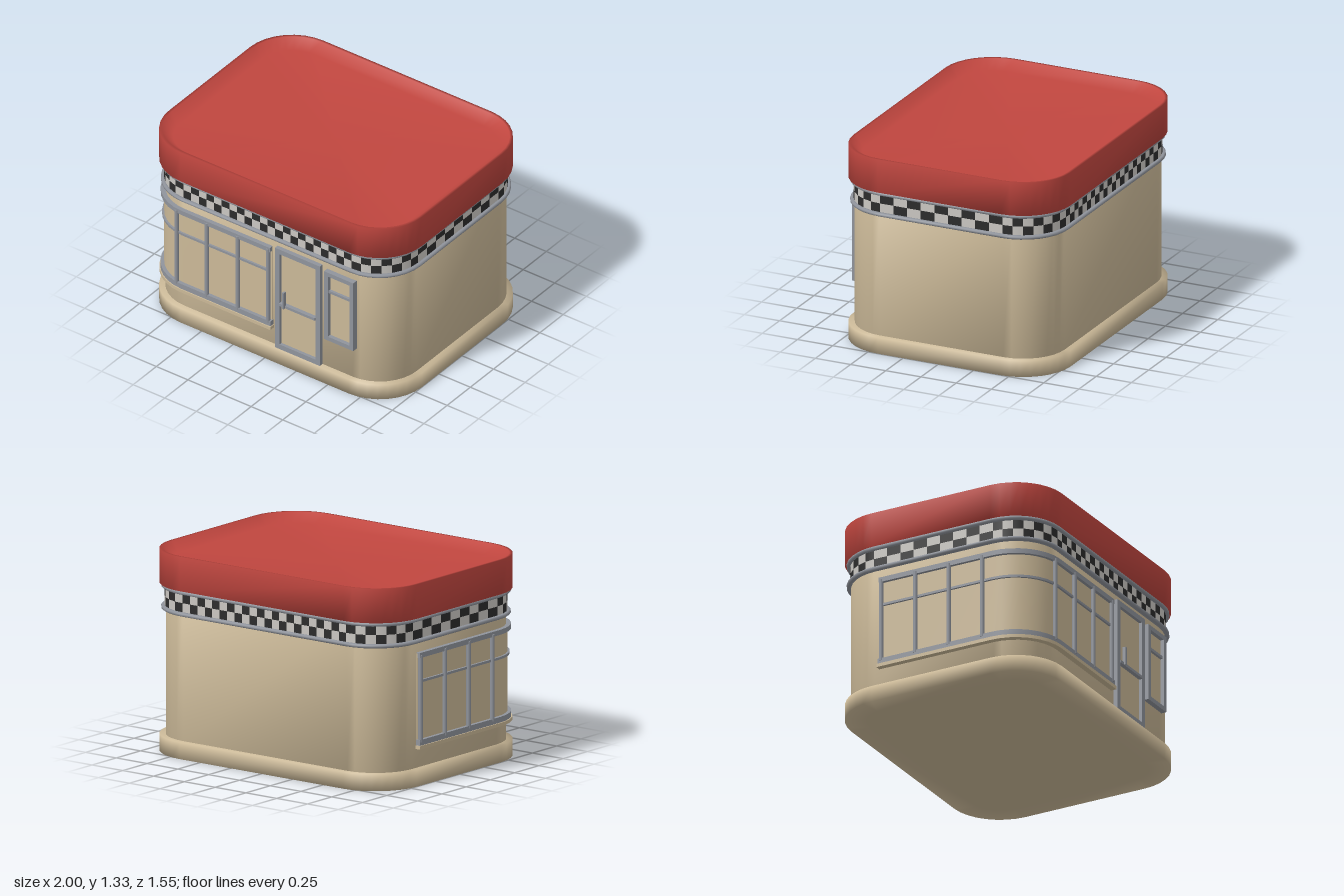
import * as THREE from 'three';
import { toCreasedNormals } from 'three/addons/utils/BufferGeometryUtils.js';

const HX = 0.96, HZ = 0.73, R = 0.295; // wall half sizes and corner radius

const mat = (name, color) => {
  const m = new THREE.MeshStandardMaterial({ color });
  m.name = name;
  return m;
};

// Stations [x, z, normalX, normalZ] round one corner, from angle a (degrees) through -90
function corner(sx, sz, a, n) {
  const out = [];
  for (let i = 0; i <= n; i++) {
    const t = (a - (90 * i) / n) * Math.PI / 180, c = Math.cos(t), s = Math.sin(t);
    out.push([sx * (HX - R) + R * c, sz * (HZ - R) + R * s, c, s]);
  }
  return out;
}

const corners = (n) => [corner(1, 1, 90, n), corner(1, -1, 0, n), corner(-1, -1, -90, n), corner(-1, 1, 180, n)];

// Sweeps a profile of [offset, y] points along the stations
function sweep(path, profile, { loop, ring }) {
  const pos = [], idx = [], n = path.length, m = profile.length;
  for (const [x, z, nx, nz] of path)
    for (const [d, y] of profile) pos.push(x + nx * d, y, z + nz * d);
  for (let i = 0; i < (loop ? n : n - 1); i++)
    for (let j = 0; j < (ring ? m : m - 1); j++) {
      const k = (i + 1) % n, l = (j + 1) % m;
      const a = i * m + j, b = k * m + j, c = k * m + l, d = i * m + l;
      idx.push(a, b, c, a, c, d);
    }
  if (loop && !ring) { // close bottom and top
    const bottom = n * m, top = bottom + 1;
    pos.push(0, profile[0][1], 0, 0, profile[m - 1][1], 0);
    for (let i = 0; i < n; i++) {
      const k = (i + 1) % n;
      idx.push(bottom, k * m, i * m, top, i * m + m - 1, k * m + m - 1);
    }
  }
  if (!loop) { // close both ends
    const e = (n - 1) * m;
    for (let j = 1; j < m - 1; j++) idx.push(0, j, j + 1, e, e + j + 1, e + j);
  }
  const g = new THREE.BufferGeometry();
  g.setAttribute('position', new THREE.Float32BufferAttribute(pos, 3));
  g.setIndex(idx);
  g.computeVertexNormals();
  return g;
}

// Two rows of alternating quads round the building
function checkerGeometry(y0, y1, d) {
  const cells = [], straight = [22, 9, 22, 9], arcs = 7, arc = corners(arcs);
  for (let s = 0; s < 4; s++) {
    const a = arc[(s + 3) % 4][arcs], b = arc[s][0];
    for (let i = 0; i < straight[s]; i++)
      cells.push(a.map((v, k) => v + (b[k] - v) * i / straight[s]));
    cells.push(...arc[s].slice(0, arcs));
  }
  const pos = [], nor = [], g = new THREE.BufferGeometry(), h = (y1 - y0) / 2;
  for (let colour = 0; colour < 2; colour++) {
    const start = pos.length / 3;
    cells.forEach((a, i) => {
      const b = cells[(i + 1) % cells.length];
      const row = (i + colour) % 2, lo = y0 + row * h, hi = lo + h;
      for (const [p, y] of [[a, lo], [b, lo], [b, hi], [a, lo], [b, hi], [a, hi]]) {
        pos.push(p[0] + p[2] * d, y, p[1] + p[3] * d);
        nor.push(p[2], 0, p[3]);
      }
    });
    g.addGroup(start, pos.length / 3 - start, colour);
  }
  g.setAttribute('position', new THREE.Float32BufferAttribute(pos, 3));
  g.setAttribute('normal', new THREE.Float32BufferAttribute(nor, 3));
  return g;
}

export function createModel() {
  const beige = mat('beige', 0xcbb998), red = mat('red', 0xc0463f), grey = mat('steel grey', 0x90949c);
  const white = mat('off white', 0xcac7c2), black = mat('black', 0x2c2c2c);

  const model = new THREE.Group();
  model.name = 'building';
  const body = new THREE.Group();
  body.name = 'body';
  body.position.z = -0.005;
  model.add(body);

  const add = (name, geo, material, parent = body) => {
    const mesh = new THREE.Mesh(geo, material);
    mesh.name = name;
    parent.add(mesh);
    return mesh;
  };
  const box = (name, x0, x1, y0, y1, z0, z1, material, parent) =>
    add(name, new THREE.BoxGeometry(x1 - x0, y1 - y0, z1 - z0), material, parent)
      .position.set((x0 + x1) / 2, (y0 + y1) / 2, (z0 + z1) / 2);

  // Main shell: base, walls, and a roof with a sunken top behind a narrow rim
  const path = corners(8).flat();
  const shell = (name, profile, material) => add(name, sweep(path, profile, { loop: true }), material);
  shell('base', [[-0.1, 0], [0.04, 0], [0.04, 0.11], [-0.08, 0.11]], beige);
  shell('walls', [[-0.28, 0.1], [0, 0.1], [0, 1.09], [-0.28, 1.09]], beige);
  shell('roof', [[-0.1, 1.1], [0.04, 1.1], [0.04, 1.325], [0.02, 1.325], [-0.05, 1.265]], red);

  // Checkered band between two rounded trims
  add('checkerBand', checkerGeometry(0.95, 1.08, 0.008), [black, white]);
  for (const [name, y] of [['lowerTrim', 0.943], ['upperTrim', 1.086]]) {
    const profile = [[-0.01, -0.013], [0.02, -0.013], [0.029, -0.006], [0.029, 0.006], [0.02, 0.013], [-0.01, 0.013]]
      .map(([d, dy]) => [d, y + dy]);
    add(name, sweep(path, profile, { loop: true, ring: true }), grey);
  }

  // Long window wrapping the front right corner
  const wrap = new THREE.Group();
  wrap.name = 'cornerWindow';
  body.add(wrap);
  const strip = (name, y0, y1, d, material, end = 0.035) => {
    const stations = [[-HX, -0.355 - end, -1, 0], ...corner(-1, 1, 180, 8), [end, HZ, 0, 1]];
    const g = sweep(stations, [[-0.005, y0], [d, y0], [d, y1], [-0.005, y1]], { ring: true });
    add(name, toCreasedNormals(g, 0.6), material, wrap);
  };
  strip('windowPanel', 0.24, 0.86, 0.008, beige);
  strip('windowSill', 0.235, 0.258, 0.039, beige, 0.045);
  strip('bottomRail', 0.258, 0.295, 0.032, grey, 0.04);
  strip('middleRail', 0.668, 0.684, 0.022, grey, 0.025);
  strip('topRail', 0.832, 0.865, 0.03, grey, 0.035);
  const mullion = (x, z) =>
    add('mullion', new THREE.CylinderGeometry(0.015, 0.015, 0.57, 12), grey, wrap).position.set(x, 0.565, z);
  for (const x of [0.015, -0.225, -0.47, -0.712]) mullion(x, HZ + (x < -0.66 ? 0.018 : 0.022));
  for (const z of [-0.375, -0.125, 0.12, 0.365]) mullion(-HX - 0.022, z);

  // Framed openings on the front
  const framed = (name, x0, x1, y0, y1, w, depth) => {
    const group = new THREE.Group();
    group.name = name;
    body.add(group);
    const rect = (T, a, b, c, d) => new T([[a, c], [b, c], [b, d], [a, d]].map((p) => new THREE.Vector2(...p)));
    const shape = rect(THREE.Shape, x0, x1, y0, y1);
    shape.holes.push(rect(THREE.Path, x0 + w, x1 - w, y0 + w, y1 - w));
    const g = new THREE.ExtrudeGeometry(shape, { depth: depth + 0.015, bevelEnabled: false });
    g.translate(0, 0, HZ - 0.015);
    add(name + 'Frame', g, grey, group);
    box(name + 'Panel', x0 + w, x1 - w, y0 + w, y1 - w, HZ - 0.01, HZ + 0.008, beige, group);
    return group;
  };

  const door = framed('door', 0.075, 0.43, 0.11, 0.885, 0.036, 0.03);
  box('pushBar', 0.11, 0.392, 0.45, 0.469, HZ + 0.005, HZ + 0.036, grey, door);
  box('doorHandle', 0.145, 0.159, 0.45, 0.574, HZ + 0.028, HZ + 0.05, grey, door);

  const small = framed('smallWindow', 0.467, 0.698, 0.34, 0.868, 0.03, 0.035);
  box('smallWindowBar', 0.495, 0.67, 0.705, 0.723, HZ, HZ + 0.026, grey, small);

  return model;
}
